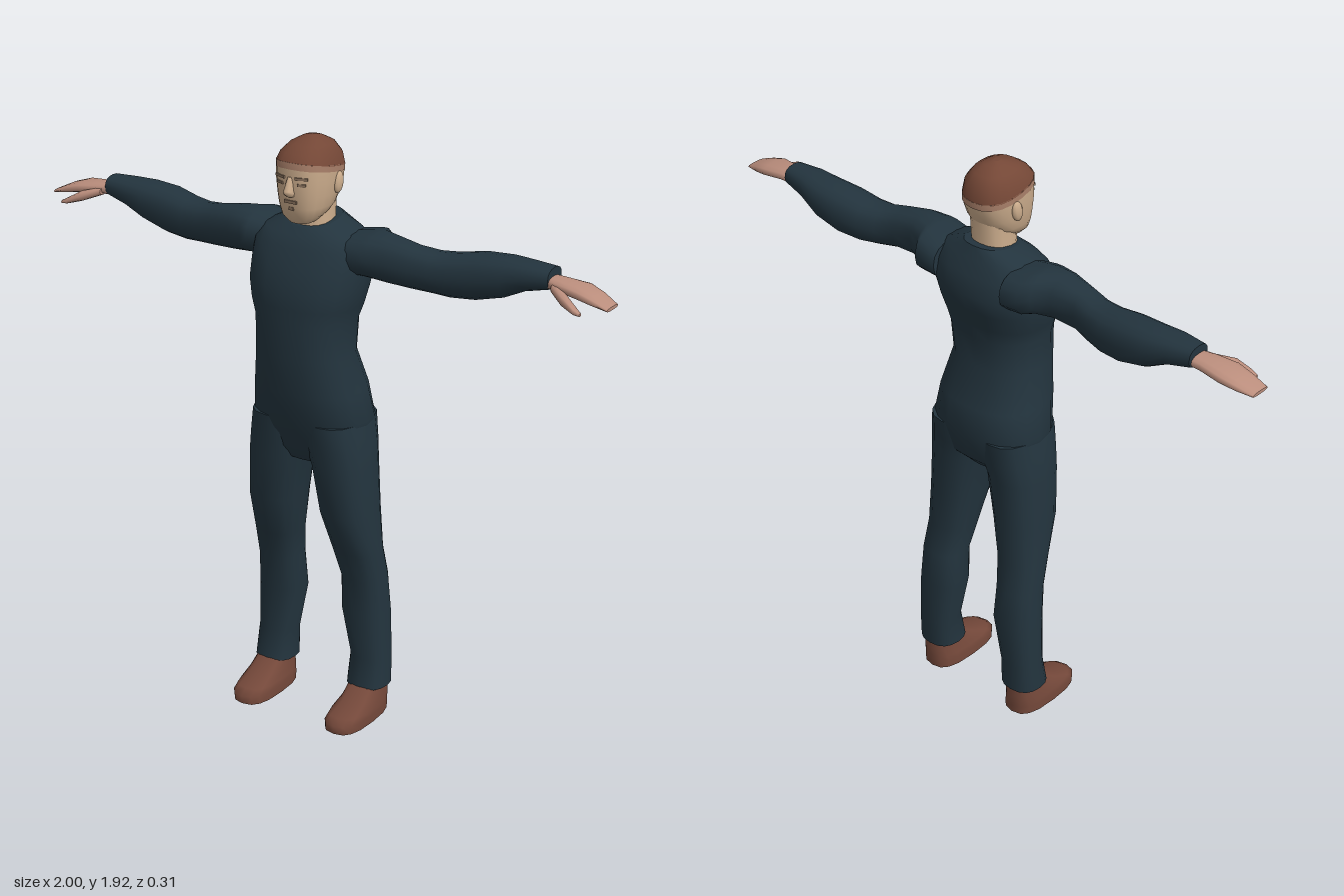
import * as THREE from 'three';

const mat = (name, color) => {
  const m = new THREE.MeshStandardMaterial({ color });
  m.name = name;
  return m;
};

// Closed skin over rounded sections [t, a0, a1, b0, b1, tilt].
// Upright lofts: t = y, a = x, b = z. Sideways lofts: t = x, a = y, b = z.
function loft(sections, { sideways = false, side = 1, power = 2.4, n = 16 } = {}) {
  const pos = [], idx = [];
  const flip = sideways !== (side > 0);
  const put = (t, a, b) => pos.push(...(sideways ? [t * side, a, b] : [a * side, t, b]));
  const tri = (a, b, c) => idx.push(...(flip ? [a, c, b] : [a, b, c]));
  const curve = (v) => Math.sign(v) * Math.pow(Math.abs(v), 2 / power);
  const ring = ([t, a0, a1, b0, b1, tilt = 0]) => {
    for (let j = 0; j < n; j++) {
      const th = (j / n) * Math.PI * 2;
      const db = ((b1 - b0) / 2) * curve(Math.sin(th));
      put(t + tilt * db, (a0 + a1) / 2 + ((a1 - a0) / 2) * curve(Math.cos(th)), (b0 + b1) / 2 + db);
    }
  };
  sections.forEach(ring);
  for (let i = 0; i < sections.length - 1; i++) {
    for (let j = 0; j < n; j++) {
      const k = (j + 1) % n, p = i * n, q = p + n;
      tri(p + j, p + k, q + k);
      tri(p + j, q + k, q + j);
    }
  }
  // Separate cap vertices keep the end edges crisp
  [sections[0], sections[sections.length - 1]].forEach((s, end) => {
    const base = pos.length / 3;
    ring(s);
    put(s[0], (s[1] + s[2]) / 2, (s[3] + s[4]) / 2);
    for (let j = 0; j < n; j++) {
      const k = (j + 1) % n;
      if (end) tri(base + n, base + j, base + k);
      else tri(base + n, base + k, base + j);
    }
  });
  const g = new THREE.BufferGeometry();
  g.setAttribute('position', new THREE.Float32BufferAttribute(pos, 3));
  g.setIndex(idx);
  g.computeVertexNormals();
  return g;
}

// Symmetric upright section from half width and depth
const sym = ([y, w, front, back, tilt]) => [y, -w, w, back, front, tilt];

export function createModel() {
  const model = new THREE.Group();
  model.name = 'standingMan';
  const cloth = mat('navy cloth', 0x23343e);
  const leather = mat('brown leather', 0x74483a);
  const hands = mat('hand skin', 0xba8d7c);
  const face = mat('face skin', 0xcbac8c);
  const hair = mat('brown hair', 0x744736);
  const fringe = mat('hairline', 0xa87f69);
  const shade = mat('face features', 0x87705c);
  const add = (name, geo, material, parent = model) => {
    const m = new THREE.Mesh(geo, material);
    m.name = name;
    parent.add(m);
    return m;
  };

  // Torso, from crotch to collar
  add('torso', loft([
    [0.885, 0.09, 0.06, -0.09], [0.93, 0.17, 0.088, -0.132], [1.03, 0.196, 0.12, -0.157],
    [1.13, 0.178, 0.143, -0.147], [1.25, 0.156, 0.155, -0.1], [1.36, 0.158, 0.157, -0.113],
    [1.41, 0.176, 0.156, -0.122], [1.47, 0.188, 0.155, -0.142], [1.53, 0.193, 0.135, -0.157],
    [1.59, 0.19, 0.11, -0.14], [1.63, 0.155, 0.085, -0.12, -0.06], [1.66, 0.078, 0.06, -0.105, -0.15],
  ].map(sym), { n: 20 }), cloth);

  // Neck and head
  const head = new THREE.Group();
  head.name = 'head';
  model.add(head);
  add('neck', loft([
    [1.6, 0.07, 0.055, -0.085], [1.66, 0.064, 0.05, -0.076], [1.75, 0.064, 0.04, -0.083],
  ].map(sym)), face, head);
  add('skull', loft([
    [1.67, 0.045, 0.085, -0.02, -0.15], [1.69, 0.066, 0.1, -0.035, -0.1], [1.715, 0.077, 0.108, -0.065],
    [1.75, 0.084, 0.113, -0.088], [1.79, 0.089, 0.117, -0.101, 0.05], [1.832, 0.09, 0.116, -0.107, 0.18],
  ].map(sym), { n: 20 }), face, head);
  add('hairline', loft([
    [1.818, 0.0905, 0.118, -0.108, 0.18], [1.838, 0.0905, 0.116, -0.108, 0.18],
  ].map(sym), { n: 20 }), fringe, head);
  add('hair', loft([
    [1.835, 0.091, 0.116, -0.108, 0.18], [1.868, 0.082, 0.098, -0.1, 0.1],
    [1.895, 0.06, 0.068, -0.076, 0.04], [1.91, 0.034, 0.036, -0.042], [1.917, 0.01, 0.01, -0.015],
  ].map(sym), { n: 20 }), hair, head);
  add('nose', loft([
    [1.755, 0.013, 0.126, 0.1], [1.766, 0.017, 0.141, 0.1], [1.775, 0.014, 0.142, 0.1], [1.815, 0.008, 0.12, 0.1],
  ].map(sym), { n: 8, power: 2 }), face, head);
  add('mouth', new THREE.BoxGeometry(0.042, 0.009, 0.008), shade, head).position.set(0, 1.737, 0.111);
  add('chinShadow', new THREE.BoxGeometry(0.016, 0.01, 0.008), shade, head).position.set(0, 1.715, 0.106);

  for (const side of [1, -1]) {
    const tag = side > 0 ? 'left' : 'right';

    // Ear, brow and eye
    const ear = add(tag + 'Ear', new THREE.SphereGeometry(1, 10, 8), face, head);
    ear.scale.set(0.012, 0.034, 0.02);
    ear.position.set(side * 0.089, 1.782, -0.012);
    ear.rotation.x = -0.2;
    for (const [part, y, w, h] of [['Brow', 1.812, 0.04, 0.008], ['Eye', 1.793, 0.026, 0.008]]) {
      const plate = add(tag + part, new THREE.BoxGeometry(w, h, 0.008), shade, head);
      plate.position.set(side * 0.037, y, 0.109);
      plate.rotation.y = side * 0.36;
    }

    // Trouser leg
    add(tag + 'Leg', loft([
      [0.1, 0.11, 0.247, -0.137, 0], [0.2, 0.113, 0.243, -0.141, -0.02], [0.36, 0.08, 0.237, -0.147, -0.01],
      [0.48, 0.086, 0.231, -0.137, 0], [0.58, 0.07, 0.226, -0.117, 0.03], [0.72, 0.047, 0.22, -0.12, 0.08],
      [0.88, 0.022, 0.212, -0.125, 0.095], [0.95, 0, 0.204, -0.138, 0.104], [1.03, 0, 0.19, -0.15, 0.112],
    ], { side }), cloth);

    // Shoe
    add(tag + 'Shoe', loft([
      [0, 0.113, 0.242, -0.128, 0.142], [0.028, 0.113, 0.243, -0.13, 0.145], [0.045, 0.116, 0.241, -0.13, 0.12],
      [0.07, 0.124, 0.236, -0.13, 0.055], [0.108, 0.128, 0.23, -0.126, -0.005],
    ], { side, power: 2.8 }), leather);

    // Sleeve from shoulder to wrist
    add(tag + 'Sleeve', loft([
      [0.13, 1.5, 1.632, -0.14, 0.06], [0.2, 1.508, 1.645, -0.146, 0.065], [0.225, 1.508, 1.646, -0.112, 0.06],
      [0.28, 1.505, 1.645, -0.085, 0.05], [0.36, 1.5, 1.63, -0.078, 0.035], [0.42, 1.495, 1.62, -0.098, 0.025],
      [0.48, 1.49, 1.623, -0.115, 0.02], [0.56, 1.496, 1.638, -0.13, 0.015], [0.65, 1.52, 1.643, -0.13, 0.005],
      [0.72, 1.555, 1.643, -0.115, 0], [0.8, 1.575, 1.64, -0.1, -0.015],
    ], { sideways: true, side }), cloth);

    // Hand with closed fingers and a thumb
    add(tag + 'Hand', loft([
      [0.79, 1.577, 1.615, -0.09, -0.02], [0.83, 1.577, 1.614, -0.092, -0.01], [0.9, 1.571, 1.608, -0.1, 0.004],
      [0.95, 1.562, 1.592, -0.088, 0.003], [1, 1.557, 1.568, -0.07, 0],
    ], { sideways: true, side, n: 12 }), hands);
    add(tag + 'Thumb', loft([
      [0.815, 1.578, 1.603, -0.045, -0.005], [0.87, 1.558, 1.592, -0.005, 0.034],
      [0.915, 1.546, 1.566, 0.018, 0.046], [0.935, 1.545, 1.555, 0.03, 0.043],
    ], { sideways: true, side, n: 8 }), hands);
  }
  return model;
}
